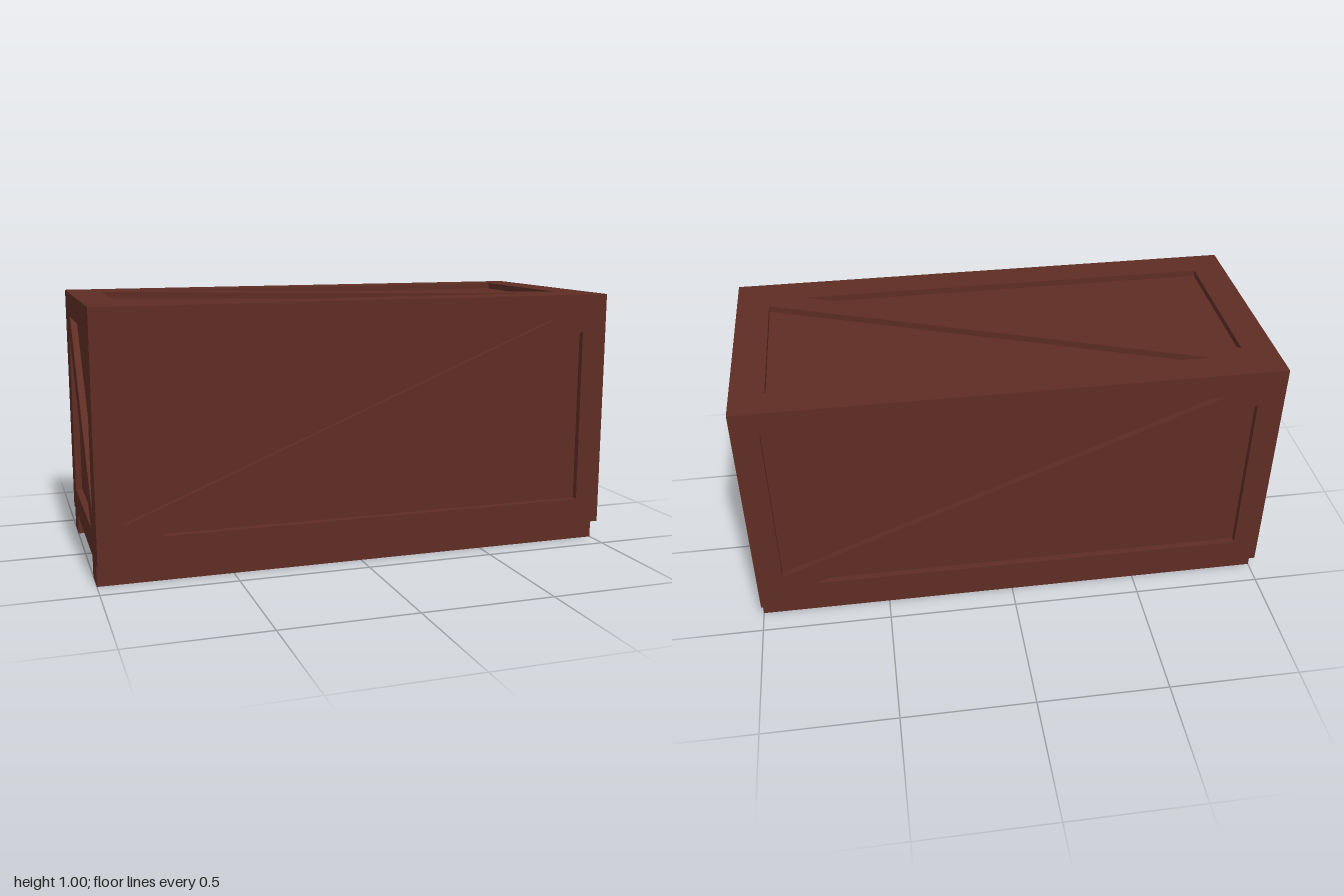
import * as THREE from 'three';

const DEPTH = 0.025; // thickness of the raised framing
const W = 2, D = 0.91, BASE = 0.08, TOP = 1;

// Flat frame with two triangular openings separated by a diagonal brace
function braceFrame(x0, x1, y0, y1, openings, material) {
  const shape = new THREE.Shape([
    new THREE.Vector2(x0, y0), new THREE.Vector2(x1, y0),
    new THREE.Vector2(x1, y1), new THREE.Vector2(x0, y1),
  ]);
  for (const tri of openings) {
    shape.holes.push(new THREE.Path(tri.map(([x, y]) => new THREE.Vector2(x, y))));
  }
  const geometry = new THREE.ExtrudeGeometry(shape, { depth: DEPTH, bevelEnabled: false });
  return new THREE.Mesh(geometry, material);
}

export function createModel() {
  const crate = new THREE.Group();
  crate.name = 'crate';
  const wood = new THREE.MeshStandardMaterial({ color: 0x5f2d24 });
  wood.name = 'dark red wood';

  const add = (mesh, name) => {
    mesh.name = name;
    crate.add(mesh);
    return mesh;
  };

  // Inner body, whose faces are the recessed panels
  const body = add(new THREE.Mesh(
    new THREE.BoxGeometry(W - 2 * DEPTH, TOP - DEPTH - BASE, D - 2 * DEPTH), wood), 'body');
  body.position.y = (BASE + TOP - DEPTH) / 2;

  const longOpenings = [
    [[-0.9, 0.905], [0.775, 0.905], [-0.9, 0.23]],
    [[0.9, 0.855], [0.9, 0.18], [-0.78, 0.18]],
  ];
  const endOpenings = [
    [[-0.265, 0.905], [0.33, 0.905], [0.33, 0.25]],
    [[-0.33, 0.83], [-0.33, 0.18], [0.265, 0.18]],
  ];
  const lidOpenings = [
    [[-0.74, 0.33], [0.875, 0.33], [0.875, -0.28]],
    [[-0.875, 0.28], [-0.875, -0.33], [0.74, -0.33]],
  ];

  // Opposite sides are the same frame turned half way round
  for (const [side, turn] of [['front', 0], ['back', Math.PI]]) {
    const frame = add(braceFrame(-W / 2, W / 2, BASE, TOP, longOpenings, wood), side + 'Frame');
    frame.rotation.y = turn;
    frame.translateZ(D / 2 - DEPTH);
  }
  const endHalf = D / 2 - DEPTH;
  for (const [side, turn] of [['left', Math.PI / 2], ['right', -Math.PI / 2]]) {
    const frame = add(braceFrame(-endHalf, endHalf, BASE, TOP, endOpenings, wood), side + 'Frame');
    frame.rotation.y = turn;
    frame.translateZ(W / 2 - DEPTH);
  }

  // Lid frame, set between the four side frames
  const lidHalf = W / 2 - DEPTH;
  const lid = add(braceFrame(-lidHalf, lidHalf, -endHalf, endHalf, lidOpenings, wood), 'lidFrame');
  lid.rotation.x = -Math.PI / 2;
  lid.position.y = TOP - DEPTH;

  // Two long skids under the body
  for (const [side, s] of [['front', 1], ['back', -1]]) {
    const skid = add(new THREE.Mesh(new THREE.BoxGeometry(W, BASE, 0.12), wood), side + 'Skid');
    skid.position.set(0, BASE / 2, s * 0.347);
  }
  return crate;
}
